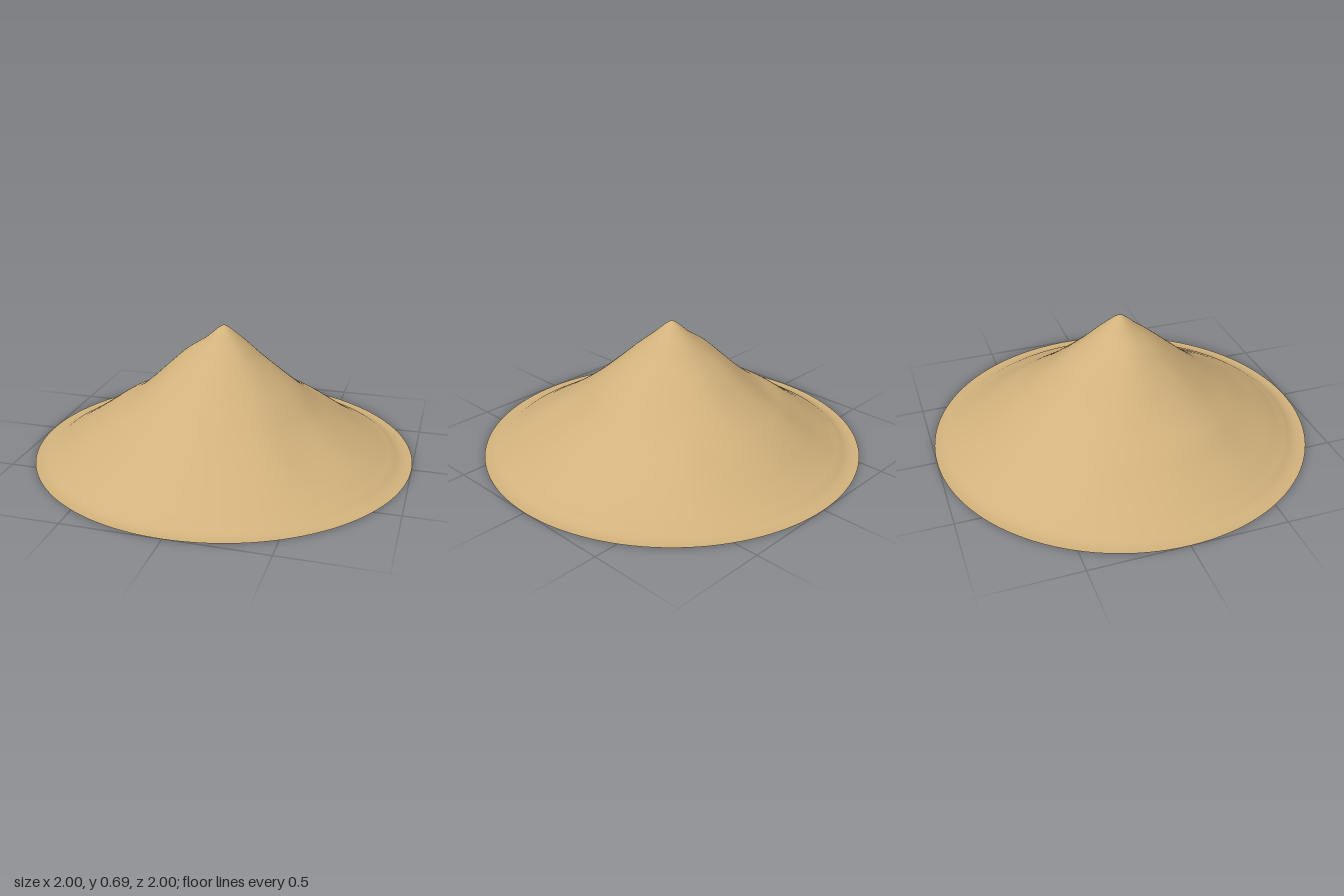
import * as THREE from 'three';
import { mergeVertices } from 'three/addons/utils/BufferGeometryUtils.js';

// slope heights at radius 0, 0.1 ... 0.9, 0.95, 1 towards +z, +x, -z, -x
const RADII = [0, 0.1, 0.2, 0.3, 0.4, 0.5, 0.6, 0.7, 0.8, 0.9, 0.95, 1];
const SLOPES = [
  [0.695, 0.617, 0.537, 0.450, 0.365, 0.285, 0.213, 0.147, 0.088, 0.030, 0.004, 0],
  [0.695, 0.615, 0.522, 0.440, 0.358, 0.268, 0.195, 0.133, 0.078, 0.028, 0.004, 0],
  [0.695, 0.622, 0.537, 0.460, 0.375, 0.300, 0.232, 0.160, 0.088, 0.030, 0.004, 0],
  [0.695, 0.617, 0.550, 0.460, 0.365, 0.285, 0.230, 0.160, 0.092, 0.030, 0.004, 0],
];
const curves = SLOPES.map((ys) => new THREE.SplineCurve(ys.map((y, i) => new THREE.Vector2(RADII[i], y))));

// height of one slope curve at a radius
function slopeHeight(k, r) {
  let i = 0;
  while (i < RADII.length - 2 && r > RADII[i + 1]) i++;
  const f = (r - RADII[i]) / (RADII[i + 1] - RADII[i]);
  return curves[k % 4].getPoint((i + f) / (RADII.length - 1)).y;
}

// blend neighbouring slopes around the mound and add soft folds between them
function height(x, z) {
  const r = Math.min(1, Math.hypot(x, z));
  const a = Math.atan2(x, z);
  const q = ((a / (Math.PI / 2)) + 4) % 4;
  const k = Math.floor(q);
  const t = THREE.MathUtils.smoothstep(q - k, 0, 1);
  const base = THREE.MathUtils.lerp(slopeHeight(k, r), slopeHeight(k + 1, r), t);
  const fade = Math.sin(Math.PI * Math.min(1, r / 0.95)) * Math.sin(2 * a) ** 2;
  const folds = Math.sin(7 * x + 3 * z + 0.6) * Math.sin(8 * z - 4 * x + 1.1) + 0.5 * Math.sin(11 * x - 6 * z);
  return Math.max(0, base + fade * (0.009 * folds - 0.004));
}

export function createModel() {
  const group = new THREE.Group();

  // open shell of the mound, from the flat rim up to the peak
  const rings = 60;
  const points = Array.from({ length: rings + 1 }, (_, i) => new THREE.Vector2(1 - i / rings, 0));
  let geometry = new THREE.LatheGeometry(points, 128);
  const pos = geometry.attributes.position;
  for (let i = 0; i < pos.count; i++) pos.setY(i, height(pos.getX(i), pos.getZ(i)));
  geometry.deleteAttribute('uv');
  geometry.deleteAttribute('normal');
  geometry = mergeVertices(geometry, 1e-5);
  geometry.computeVertexNormals();

  const material = new THREE.MeshStandardMaterial({ color: 0xd2b27c, side: THREE.DoubleSide });
  const mound = new THREE.Mesh(geometry, material);
  mound.name = 'sandMound';
  group.add(mound);
  return group;
}
